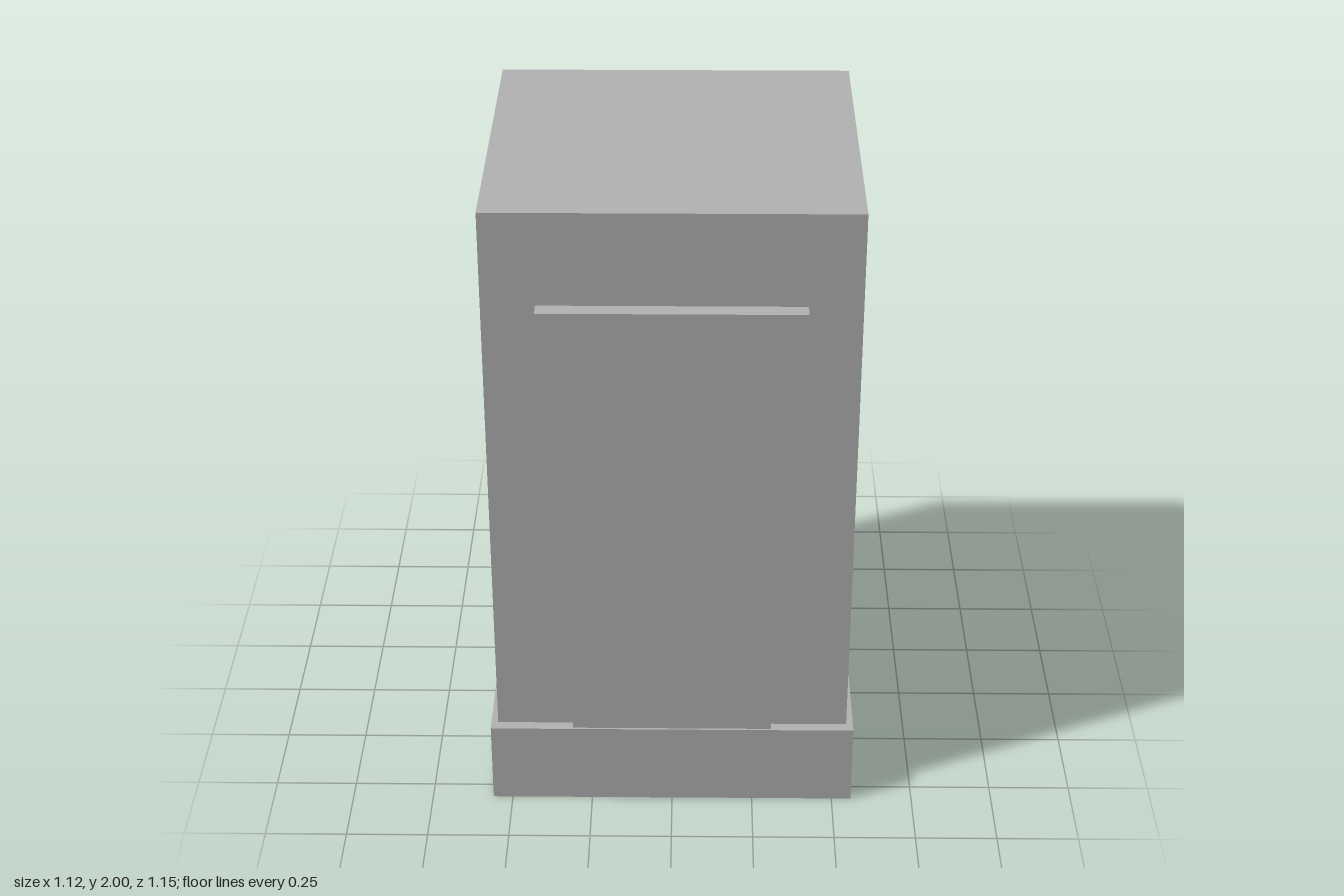
import * as THREE from 'three';

export function createModel() {
  const model = new THREE.Group();
  model.name = 'pedestal';
  const grey = new THREE.MeshStandardMaterial({ color: 0xb3b3b3 });
  grey.name = 'stone grey';

  // Box spanning a width, a height range and a depth range
  const addBox = (name, width, y0, y1, z0, z1) => {
    const mesh = new THREE.Mesh(new THREE.BoxGeometry(width, y1 - y0, z1 - z0), grey);
    mesh.name = name;
    mesh.position.set(0, (y0 + y1) / 2, (z0 + z1) / 2);
    model.add(mesh);
    return mesh;
  };

  // Plinth and main block
  addBox('plinth', 1.12, 0, 0.265, -0.56, 0.56);
  addBox('body', 1.078, 0.265, 2, -0.527, 0.527);

  // Raised panel with a wider lintel, on front and back
  for (const [side, s] of [['front', 1], ['back', -1]]) {
    const span = (depth) => [0.527 * s, depth * s].sort((a, b) => a - b);
    addBox(side + 'Panel', 0.61, 0.279, 1.588, ...span(0.572));
    addBox(side + 'Lintel', 0.768, 1.588, 1.715, ...span(0.577));
  }
  return model;
}
